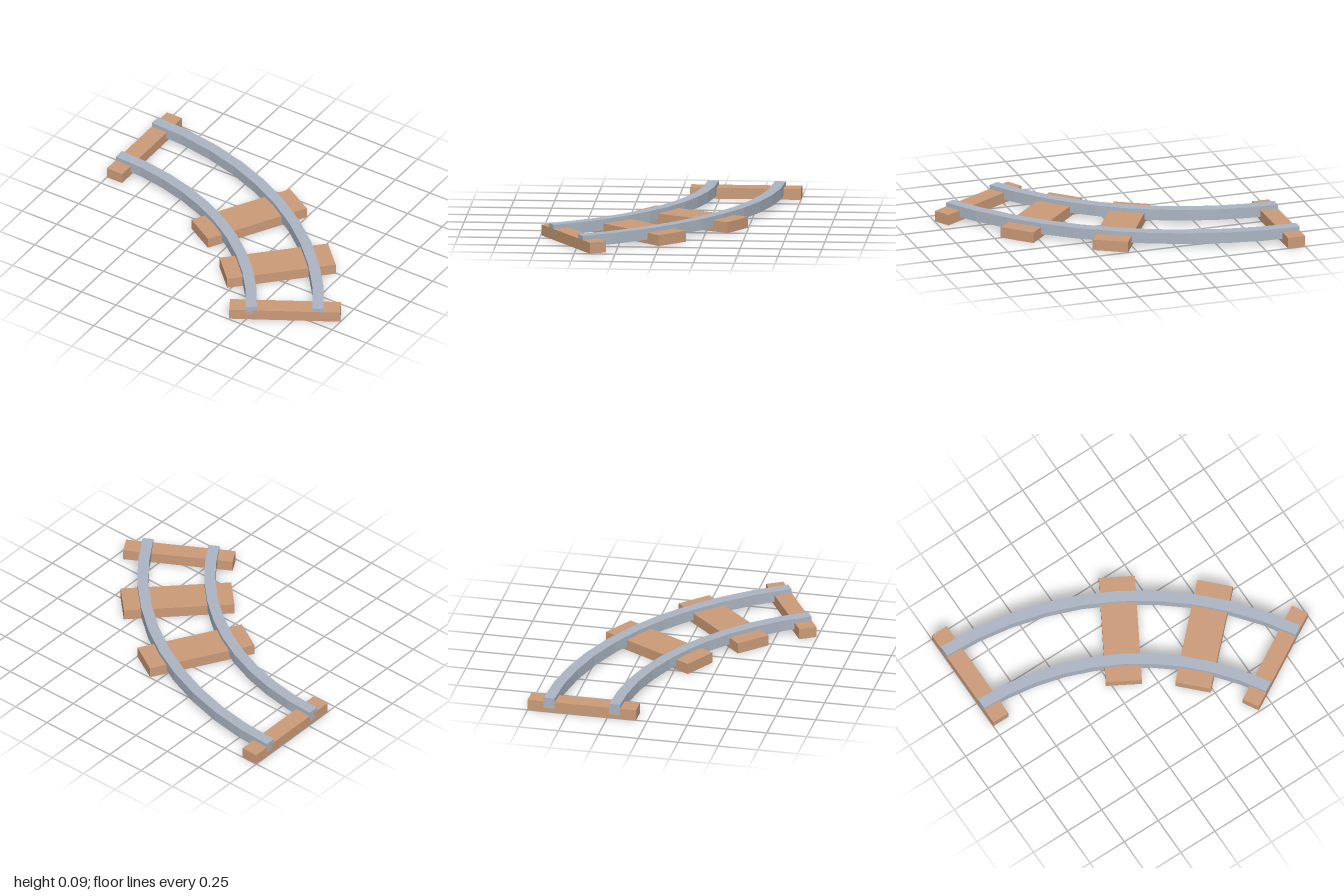
import * as THREE from 'three';

const CENTRE_X = -1, CENTRE_Z = 1.557;   // centre of the curve
const SWEEP = Math.PI / 3, SEGMENTS = 10;
const MID_RADIUS = 1.967;

export function createModel() {
  const model = new THREE.Group();
  model.name = 'curvedTrack';
  model.position.set(CENTRE_X, 0, CENTRE_Z);

  const wood = new THREE.MeshStandardMaterial({ color: 0xcb9b78, flatShading: true });
  const steel = new THREE.MeshStandardMaterial({ color: 0xabb5c2, flatShading: true });

  // Rails: faceted arc bands, sunk into the sleepers
  function addRail(name, radius) {
    const width = 0.068, points = [];
    const arcPoint = (r, i) => {
      const a = SWEEP * i / SEGMENTS;
      return new THREE.Vector2(r * Math.sin(a), r * Math.cos(a));
    };
    for (let i = 0; i <= SEGMENTS; i++) points.push(arcPoint(radius + width / 2, i));
    for (let i = SEGMENTS; i >= 0; i--) points.push(arcPoint(radius - width / 2, i));
    const geometry = new THREE.ExtrudeGeometry(new THREE.Shape(points), { depth: 0.069, bevelEnabled: false });
    geometry.rotateX(-Math.PI / 2);
    const rail = new THREE.Mesh(geometry, steel);
    rail.name = name;
    rail.position.y = 0.025;
    model.add(rail);
  }
  addRail('outerRail', 2.172);
  addRail('innerRail', 1.762);

  // Sleepers: radial planks; the end ones are half width and flush with the rail ends
  function addSleeper(name, degrees, width, offset) {
    const geometry = new THREE.BoxGeometry(width, 0.068, 0.68);
    geometry.translate(offset, 0.034, -MID_RADIUS);
    const sleeper = new THREE.Mesh(geometry, wood);
    sleeper.name = name;
    sleeper.rotation.y = -THREE.MathUtils.degToRad(degrees);
    model.add(sleeper);
  }
  addSleeper('startSleeper', 0, 0.11, 0.055);
  addSleeper('middleSleeperA', 30, 0.222, 0);
  addSleeper('middleSleeperB', 45, 0.222, 0);
  addSleeper('endSleeper', 60, 0.11, -0.055);

  const root = new THREE.Group();
  root.name = 'track';
  root.add(model);
  return root;
}
